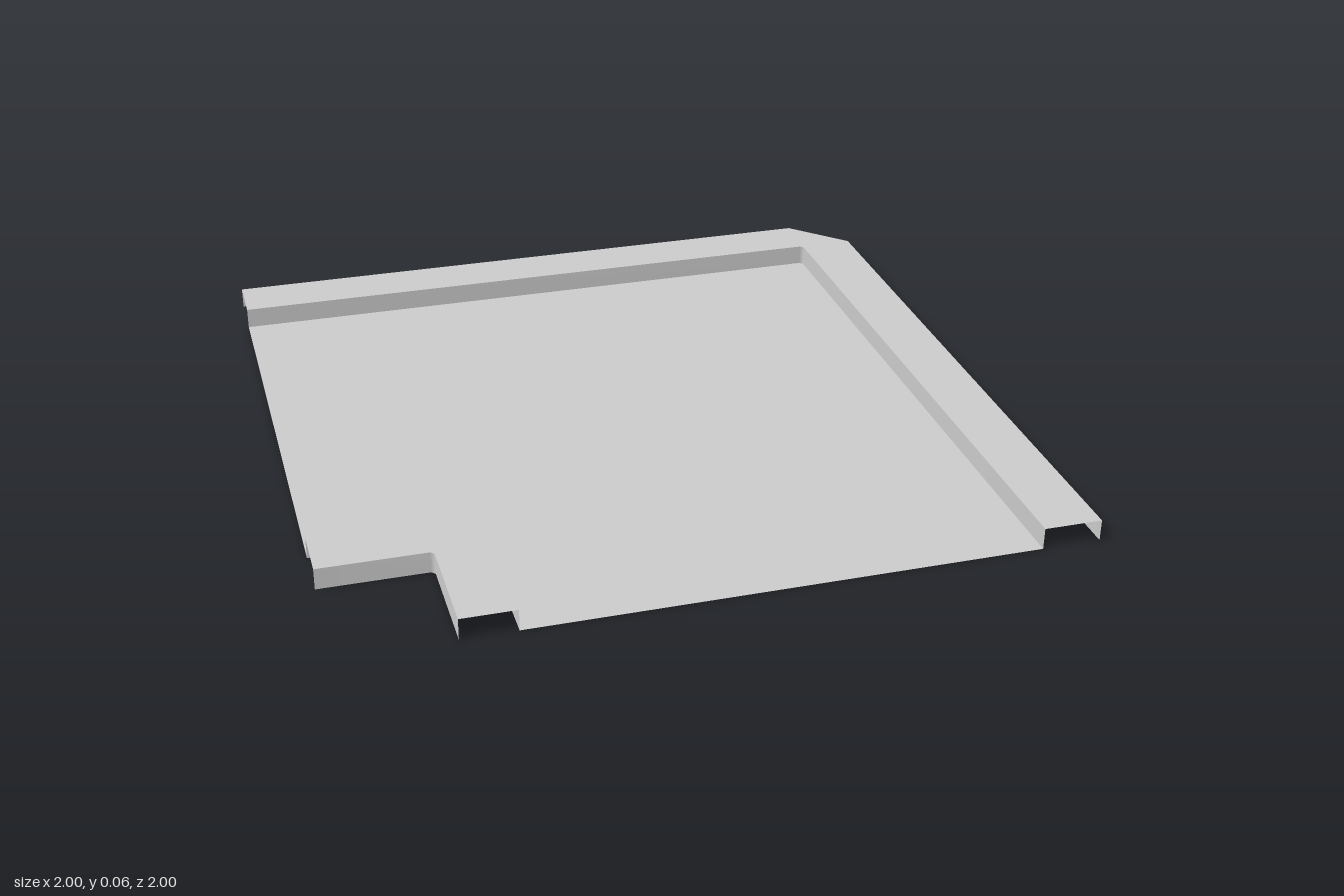
import * as THREE from 'three';

const H = 0.06; // kerb height
const material = new THREE.MeshStandardMaterial({ color: 0xcccccc, side: THREE.DoubleSide });

// Ground outlines as [x, z], all running from the left edge round to the front edge
const outerKerb = {
  inside: [[-1, -0.845], [0.83, -0.845], [0.84, -0.835], [0.84, 1]],
  outside: [[-1, -1], [0.845, -1], [1, -0.845], [1, 1]],
};
const cornerKerb = {
  inside: [[-1, 0.69], [-0.705, 0.69], [-0.695, 0.7], [-0.695, 1]],
  outside: [[-1, 0.54], [-0.695, 0.54], [-0.545, 0.69], [-0.545, 1]],
};

const raise = (path, y) => path.map(([x, z]) => [x, y, z]);

// Ribbon of quads between two matching lines of points, smooth along its length
function ribbon(name, a, b) {
  const geometry = new THREE.BufferGeometry();
  geometry.setAttribute('position', new THREE.Float32BufferAttribute([...a, ...b].flat(), 3));
  const n = a.length;
  const index = [];
  for (let i = 0; i < n - 1; i++) {
    index.push(i, i + 1, n + i, i + 1, n + i + 1, n + i);
  }
  geometry.setIndex(index);
  geometry.computeVertexNormals();
  const mesh = new THREE.Mesh(geometry, material);
  mesh.name = name;
  return mesh;
}

// Thin channel, open underneath and at both ends
function kerb(name, { inside, outside }) {
  const group = new THREE.Group();
  group.name = name;
  group.add(
    ribbon('insideWall', raise(inside, 0), raise(inside, H)),
    ribbon('kerbTop', raise(inside, H), raise(outside, H)),
    ribbon('outsideWall', raise(outside, H), raise(outside, 0)),
  );
  return group;
}

export function createModel() {
  const model = new THREE.Group();
  model.name = 'roadCorner';

  // Flat road sheet filling the space between the two kerbs
  const outline = [...outerKerb.inside, ...[...cornerKerb.outside].reverse()];
  const shape = new THREE.Shape(outline.map(([x, z]) => new THREE.Vector2(x, -z)));
  const road = new THREE.Mesh(new THREE.ShapeGeometry(shape).rotateX(-Math.PI / 2), material);
  road.name = 'roadSurface';

  model.add(road, kerb('outerKerb', outerKerb), kerb('cornerKerb', cornerKerb));
  return model;
}
